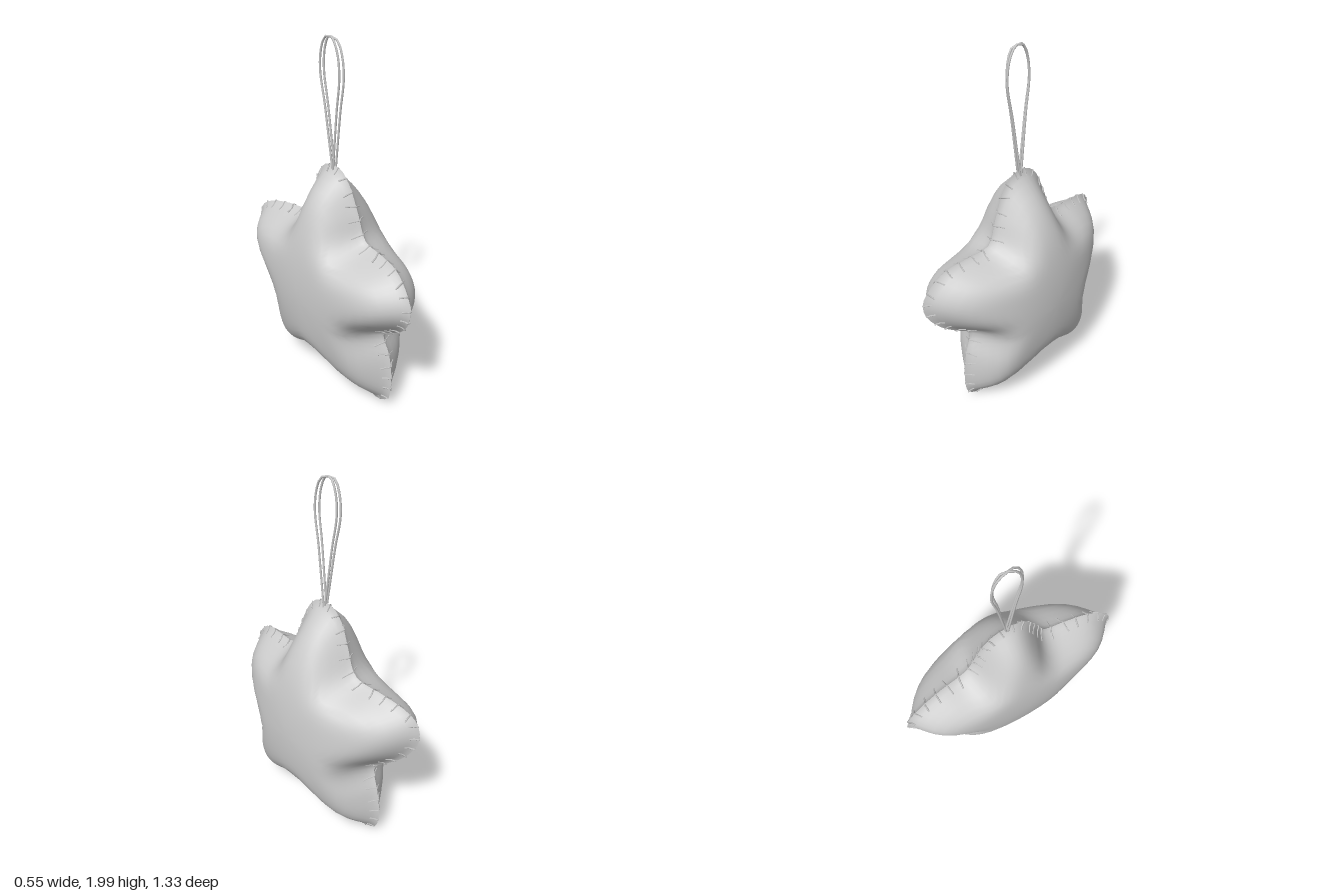
import * as THREE from 'three';

// Star outline as [z, y], counter-clockwise seen from +x
const OUTLINE = [
  [0, 1.33], [0.07, 1.315], [0.13, 1.25], [0.19, 1.12], [0.25, 0.98], [0.38, 0.965], [0.52, 0.945], [0.61, 0.88],
  [0.66, 0.8], [0.65, 0.71], [0.58, 0.61], [0.49, 0.54], [0.41, 0.48], [0.45, 0.37], [0.47, 0.25], [0.47, 0.13],
  [0.45, 0.06], [0.36, 0.01], [0.27, 0.03], [0.13, 0.1], [0, 0.16], [-0.13, 0.09], [-0.27, 0.02], [-0.36, 0.01],
  [-0.45, 0.05], [-0.475, 0.16], [-0.455, 0.32], [-0.415, 0.47], [-0.5, 0.55], [-0.6, 0.65], [-0.655, 0.78],
  [-0.63, 0.88], [-0.55, 0.93], [-0.42, 0.96], [-0.25, 0.99], [-0.18, 1.14], [-0.13, 1.255], [-0.07, 1.315],
];
const CY = 0.6;      // height of the star's middle
const DEPTH = 0.275; // half thickness there

const curve = new THREE.CatmullRomCurve3(OUTLINE.map(([z, y]) => new THREE.Vector3(0, y, z)), true, 'centripetal');
curve.arcLengthDivisions = 1000;
const SAMPLES = 480;
const fineRim = curve.getSpacedPoints(SAMPLES).slice(0, SAMPLES);
const rim = fineRim.filter((p, i) => i % 4 === 0);
const STEP = curve.getLength() / SAMPLES;

// The side arms bend towards -x, the tip slightly so, the legs hardly
const seamX = (z, y) =>
  -0.07 * (z / 0.65) ** 2 * THREE.MathUtils.smoothstep(y, 0.3, 0.75) - 0.06 * Math.max(0, y - 1);

// Smoothed distance to the rim
function softDistance(z, y) {
  let sum = 0;
  for (const p of fineRim) sum += STEP * Math.pow((p.z - z) ** 2 + (p.y - y) ** 2, -2.5);
  return Math.pow(sum * 0.75, -0.25);
}

// Half thickness: a broad dome that drops to the pinched seam near the rim
function puff(z, y, side) {
  const r2 = (z * z + (y - CY + side * 0.035) ** 2) / 0.77 ** 2;
  const dome = Math.pow(Math.max(0, 1 - r2), 0.7);
  const flank = 1 - Math.exp(-Math.pow(softDistance(z, y) / 0.075, 1.6));
  return DEPTH * dome * flank;
}

// One puffed half of the star
function halfGeometry(side) {
  const rings = [0.1, 0.2, 0.3, 0.4, 0.5, 0.6, 0.69, 0.77, 0.84, 0.9, 0.94, 0.97, 1];
  const n = rim.length;
  const pos = [side * puff(0, CY, side), CY, 0], index = [];
  const tri = (a, b, c) => (side > 0 ? index.push(a, b, c) : index.push(a, c, b));
  rings.forEach((t, r) => {
    for (let i = 0; i < n; i++) {
      const z = rim[i].z * t, y = CY + (rim[i].y - CY) * t;
      pos.push(seamX(z, y) + side * (t === 1 ? 0 : puff(z, y, side)), y, z);
      const j = (i + 1) % n, a = 1 + r * n + i, b = 1 + r * n + j;
      if (r === 0) tri(0, a, b);
      else {
        tri(a - n, a, b);
        tri(a - n, b, b - n);
      }
    }
  });
  const g = new THREE.BufferGeometry();
  g.setAttribute('position', new THREE.Float32BufferAttribute(pos, 3));
  g.setIndex(index);
  g.computeVertexNormals();
  return g;
}

export function createModel() {
  const model = new THREE.Group();
  model.name = 'starOrnament';
  const felt = new THREE.MeshStandardMaterial({ color: 0xcccccc });
  felt.name = 'greyFelt';

  const add = (parent, name, geometry) => {
    const m = new THREE.Mesh(geometry, felt);
    m.name = name;
    parent.add(m);
  };

  add(model, 'leftHalf', halfGeometry(1));
  add(model, 'rightHalf', halfGeometry(-1));

  // Whip stitches wrapped over the seam
  const stitches = new THREE.Group();
  stitches.name = 'stitches';
  model.add(stitches);
  const count = 60;
  for (let i = 0; i < count; i++) {
    const u = (i + 0.5) / count;
    const p = curve.getPointAt(u), d = curve.getTangentAt(u);
    const inward = new THREE.Vector3(0, d.z, -d.y);
    if (inward.y * (CY - p.y) - inward.z * p.z < 0) inward.negate();
    const slant = 0.012 * Math.sin(i * 2.4);
    const at = (depth, side, along) => {
      const q = p.clone().addScaledVector(inward, depth).addScaledVector(d, along);
      q.x = seamX(q.z, q.y) + side * (puff(q.z, q.y, side) + 0.002);
      return q;
    };
    const path = new THREE.CatmullRomCurve3([
      at(0.035, 1, slant), at(0.018, 1, slant / 2), at(-0.003, 0, 0), at(0.018, -1, -slant / 2), at(0.035, -1, -slant),
    ]);
    add(stitches, 'stitch', new THREE.TubeGeometry(path, 8, 0.0045, 4));
  }

  // Hanging cord: two strands forming a narrow loop
  const cord = new THREE.Group();
  cord.name = 'hangingLoop';
  model.add(cord);
  const side = [[0.004, 1.3], [0.024, 1.45], [0.05, 1.64], [0.078, 1.81], [0.066, 1.92], [0.035, 1.98]];
  for (const s of [1, -1]) {
    const spread = 0.95 + 0.08 * s;
    const point = (z, y, dx) => new THREE.Vector3(-0.02 - 0.02 * (y - 1.3) + s * dx, y, z * spread);
    const path = new THREE.CatmullRomCurve3([
      ...side.map(([z, y]) => point(z, y, 0.009)),
      point(0, 1.994, 0),
      ...side.map(([z, y]) => point(-z * 1.08, y + 0.01, -0.007)).reverse(),
    ]);
    add(cord, 'cordStrand', new THREE.TubeGeometry(path, 40, 0.006, 5));
  }

  return model;
}
